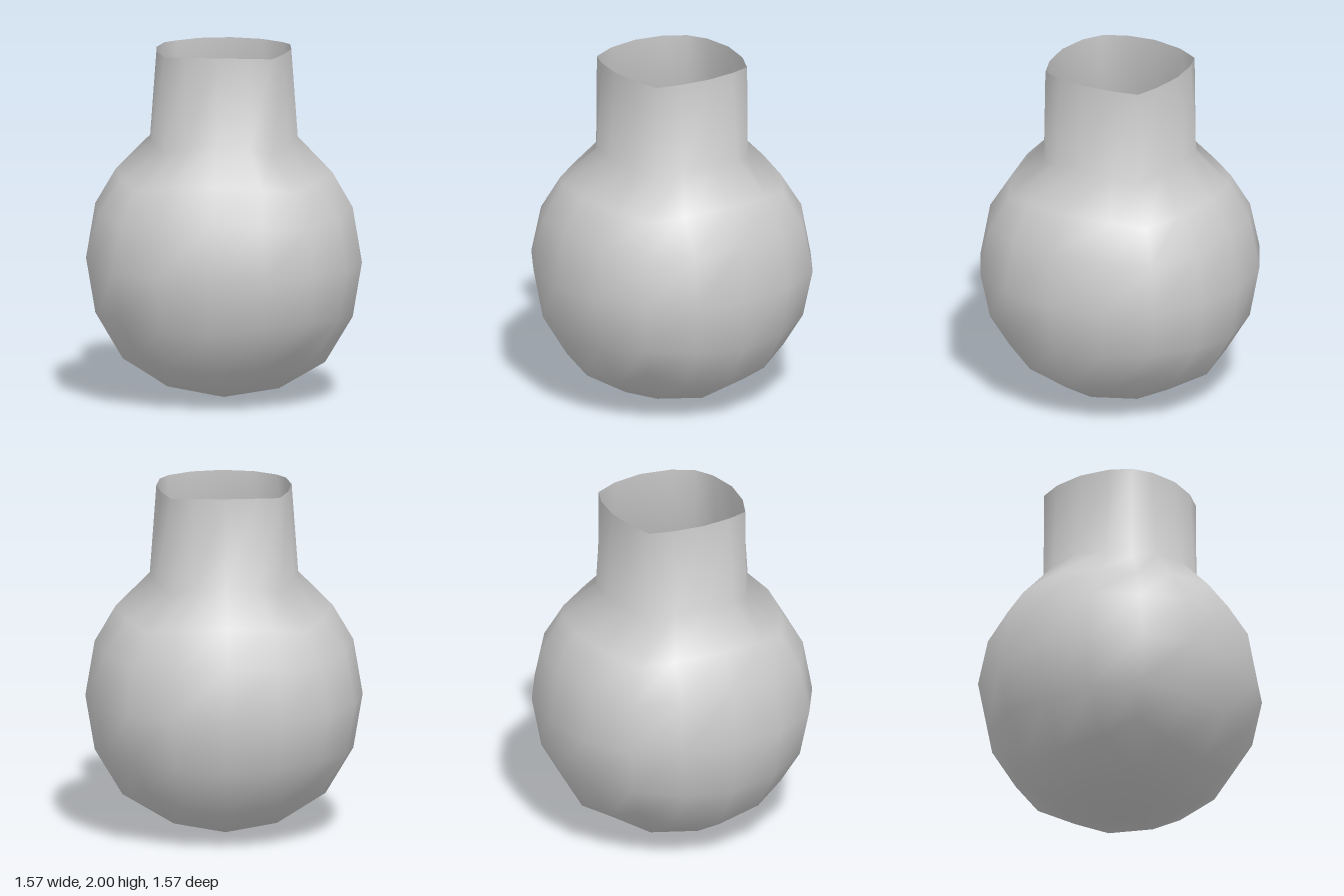
import * as THREE from 'three';

// Each ring is a rounded square, given by three points of one side as [across, along, height]:
// the middle of the side, the quarter point and the corner.
const BODY_RINGS = [
  [[0.575, 0, 0.21], [0.535, 0.27, 0.25], [0.455, 0.455, 0.33]],
  [[0.732, 0, 0.472], [0.683, 0.291, 0.494], [0.535, 0.535, 0.515]],
  [[0.785, 0, 0.785], [0.732, 0.313, 0.785], [0.575, 0.575, 0.785]],
  [[0.732, 0, 1.1], [0.683, 0.291, 1.078], [0.535, 0.535, 1.055]],
  [[0.615, 0, 1.3], [0.555, 0.275, 1.28], [0.455, 0.455, 1.245]], // shoulder
  [[0.42, 0, 1.497], [0.39, 0.185, 1.48], [0.31, 0.31, 1.44]],    // neck base
  [[0.383, 0, 2.0], [0.358, 0.18, 1.997], [0.307, 0.307, 1.988]], // rim
];
const BASE_MID = [0.313, 0, 0.055];
const BASE_CORNER = [0.291, 0.291, 0.102];

// Quarter turns of a point about the vertical axis, starting at the +z side
function turn(x, y, z, times) {
  for (let i = 0; i < times; i++) [x, z] = [z, -x];
  return [x, y, z];
}

function createFlaskGeometry() {
  const positions = [];
  const index = [];
  const quad = (a, b, c, d) => index.push(a, b, c, a, c, d);

  // Bottom pole and the ring of eight points round it
  positions.push(0, 0, 0);
  for (let s = 0; s < 4; s++) {
    for (const [across, along, y] of [BASE_MID, BASE_CORNER]) {
      positions.push(...turn(along, y, across, s));
    }
  }

  // Rings of sixteen points up to the rim
  for (const [mid, quarter, corner] of BODY_RINGS) {
    for (let s = 0; s < 4; s++) {
      positions.push(...turn(0, mid[2], mid[0], s));
      positions.push(...turn(quarter[1], quarter[2], quarter[0], s));
      positions.push(...turn(corner[0], corner[2], corner[1], s));
      positions.push(...turn(quarter[0], quarter[2], quarter[1], s));
    }
  }

  const inner = (k) => 1 + (k % 8);
  const ring = (r, k) => 9 + r * 16 + (k % 16);

  // Square grid closing the bottom
  for (let s = 0; s < 4; s++) {
    const i = 2 * s;
    const o = 4 * s;
    quad(0, inner(i + 2), inner(i + 1), inner(i));
    quad(inner(i), inner(i + 1), ring(0, o + 1), ring(0, o));
    quad(inner(i + 1), ring(0, o + 3), ring(0, o + 2), ring(0, o + 1));
    quad(inner(i + 1), inner(i + 2), ring(0, o + 4), ring(0, o + 3));
  }

  // Walls of the bulb and neck
  for (let r = 0; r < BODY_RINGS.length - 1; r++) {
    for (let k = 0; k < 16; k++) {
      quad(ring(r, k), ring(r, k + 1), ring(r + 1, k + 1), ring(r + 1, k));
    }
  }

  const geometry = new THREE.BufferGeometry();
  geometry.setAttribute('position', new THREE.Float32BufferAttribute(positions, 3));
  geometry.setIndex(index);
  geometry.computeVertexNormals();
  return geometry;
}

export function createModel() {
  const group = new THREE.Group();
  group.name = 'roundFlask';

  // Thin open shell: round bulb with a short neck
  const material = new THREE.MeshStandardMaterial({ color: 0xcccccc, side: THREE.DoubleSide });
  const flask = new THREE.Mesh(createFlaskGeometry(), material);
  flask.name = 'bulbAndNeck';
  group.add(flask);
  return group;
}
